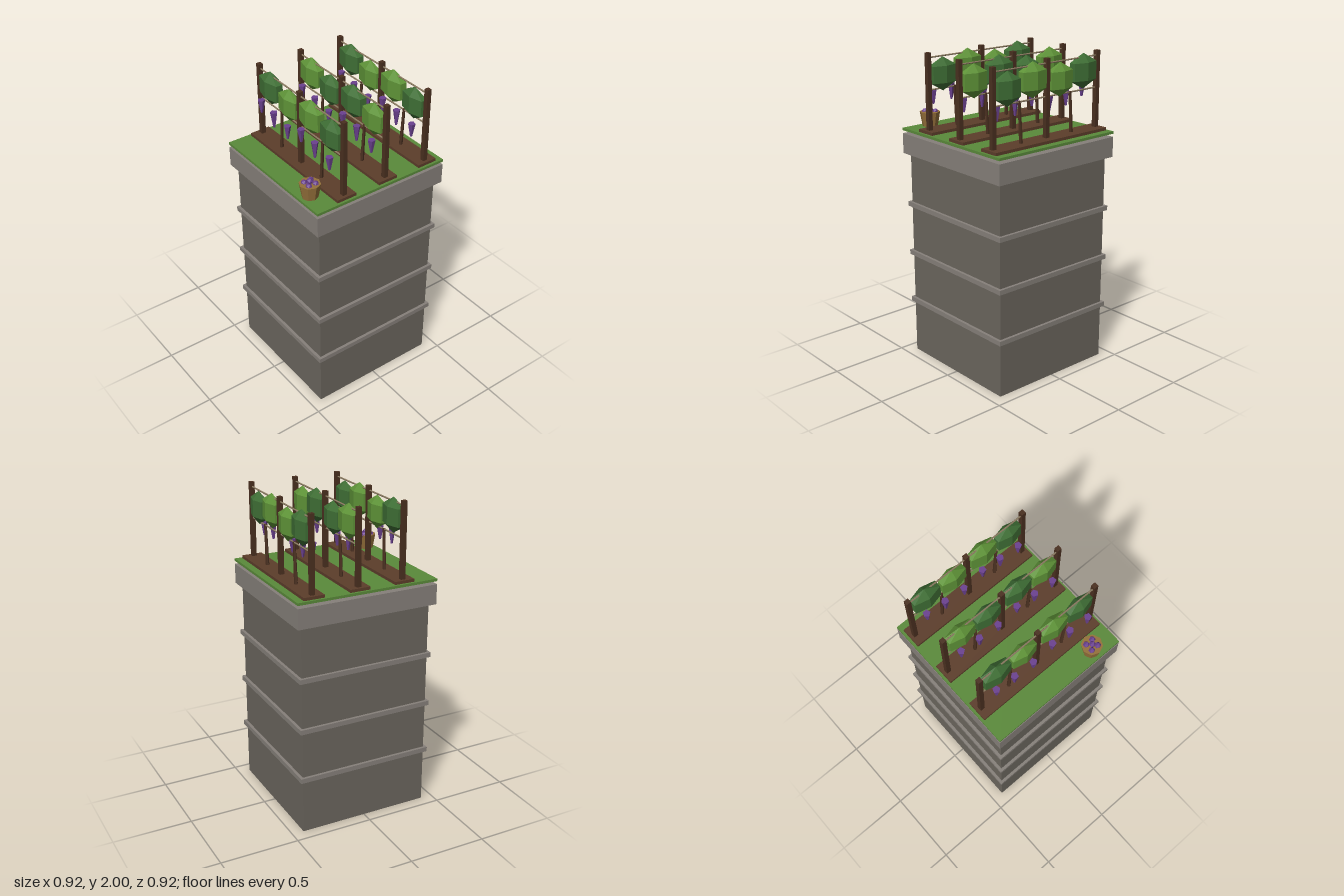
import * as THREE from 'three';

const mat = (color) => new THREE.MeshStandardMaterial({ color, flatShading: true });
const M = {
  stone: mat(0x6b665e), trim: mat(0x86807a), grass: mat(0x5a8a3a), soil: mat(0x5c3d2a),
  post: mat(0x4a3020), wire: mat(0x8a7a60), leafDark: mat(0x3f6f35), leafLight: mat(0x5f9438),
  grape: mat(0x6b4190), basket: mat(0x94703a),
};

function add(parent, name, geometry, material, x = 0, y = 0, z = 0) {
  const mesh = new THREE.Mesh(geometry, material);
  mesh.name = name;
  mesh.position.set(x, y, z);
  parent.add(mesh);
  return mesh;
}

// Box given by its bottom and top heights
function slab(parent, name, w, y0, y1, d, material, x = 0, z = 0) {
  return add(parent, name, new THREE.BoxGeometry(w, y1 - y0, d), material, x, (y0 + y1) / 2, z);
}

// Six-sided faceted bush, a corner facing front, flattened along the row
function leafGeometry(w, h, d) {
  const g = new THREE.SphereGeometry(1, 6, 3);
  g.rotateY(Math.PI / 6);
  g.scale(w / 1.5, h / 2, d / Math.sqrt(3));
  return g;
}

function vineRow(flip) {
  const row = new THREE.Group();
  row.name = 'vineRow';
  slab(row, 'soilBed', 0.885, 1.512, 1.53, 0.13, M.soil);
  for (const x of [-0.41, 0, 0.41]) slab(row, 'post', 0.028, 1.512, 2, 0.028, M.post, x);

  // Trellis wires
  for (const y of [1.775, 1.97]) {
    add(row, 'wire', new THREE.CylinderGeometry(0.005, 0.005, 0.82, 6), M.wire, 0, y).rotation.z = Math.PI / 2;
  }

  // Leaning vine trunks
  for (const x of [-0.197, 0.206]) {
    add(row, 'trunk', new THREE.CylinderGeometry(0.009, 0.012, 0.26, 5), M.post, x, 1.65).rotation.z = -0.06;
  }

  // Foliage clumps
  [[-0.295, 1.888, 0.179, 0.215], [-0.106, 1.862, 0.167, 0.207],
    [0.111, 1.888, 0.179, 0.215], [0.302, 1.862, 0.167, 0.207]].forEach(([x, y, w, h], i) => {
    const dark = (i === 0 || i === 3) !== flip;
    add(row, 'foliage', leafGeometry(w, h, w * 0.5), dark ? M.leafDark : M.leafLight, x, y);
  });

  // Hanging grape bunches: top and bottom heights
  const bunches = [[1.807, 1.722], [1.786, 1.685], [1.76, 1.675]];
  [-0.334, -0.203, -0.066, 0.073, 0.204, 0.341].forEach((x, i) => {
    const [top, bottom] = bunches[i % 3];
    const g = new THREE.CylinderGeometry(0.023, 0.007, top - bottom, 5);
    add(row, 'grapeBunch', g, M.grape, x, (top + bottom) / 2, 0.047).rotation.y = i * 0.7;
  });
  return row;
}

function grapeBasket() {
  const basket = new THREE.Group();
  basket.name = 'grapeBasket';
  add(basket, 'basketBody', new THREE.CylinderGeometry(0.064, 0.048, 0.09, 8), M.basket, 0, 0.045);
  const spots = [[0, 0.105, 0]];
  for (const sx of [-1, 1]) for (const sz of [-1, 1]) spots.push([sx * 0.023, 0.09, sz * 0.023]);
  for (const [x, y, z] of spots) add(basket, 'grape', new THREE.IcosahedronGeometry(0.02, 0), M.grape, x, y, z);
  return basket;
}

export function createModel() {
  const model = new THREE.Group();
  model.name = 'rooftopVineyard';

  // Tower with ledges and parapet
  slab(model, 'tower', 0.85, 0, 1.35, 0.85, M.stone);
  for (const y of [0.364, 0.692, 1.019]) slab(model, 'ledge', 0.886, y - 0.015, y + 0.015, 0.886, M.trim);
  slab(model, 'towerCap', 0.916, 1.35, 1.477, 0.916, M.trim);
  slab(model, 'grass', 0.916, 1.496, 1.512, 0.916, M.grass);

  // Three trellised rows, colours alternating
  [-0.347, -0.052, 0.243].forEach((z, i) => {
    const row = vineRow(i === 1);
    row.position.z = z;
    model.add(row);
  });

  const basket = grapeBasket();
  basket.position.set(0.295, 1.512, 0.392);
  model.add(basket);
  return model;
}
